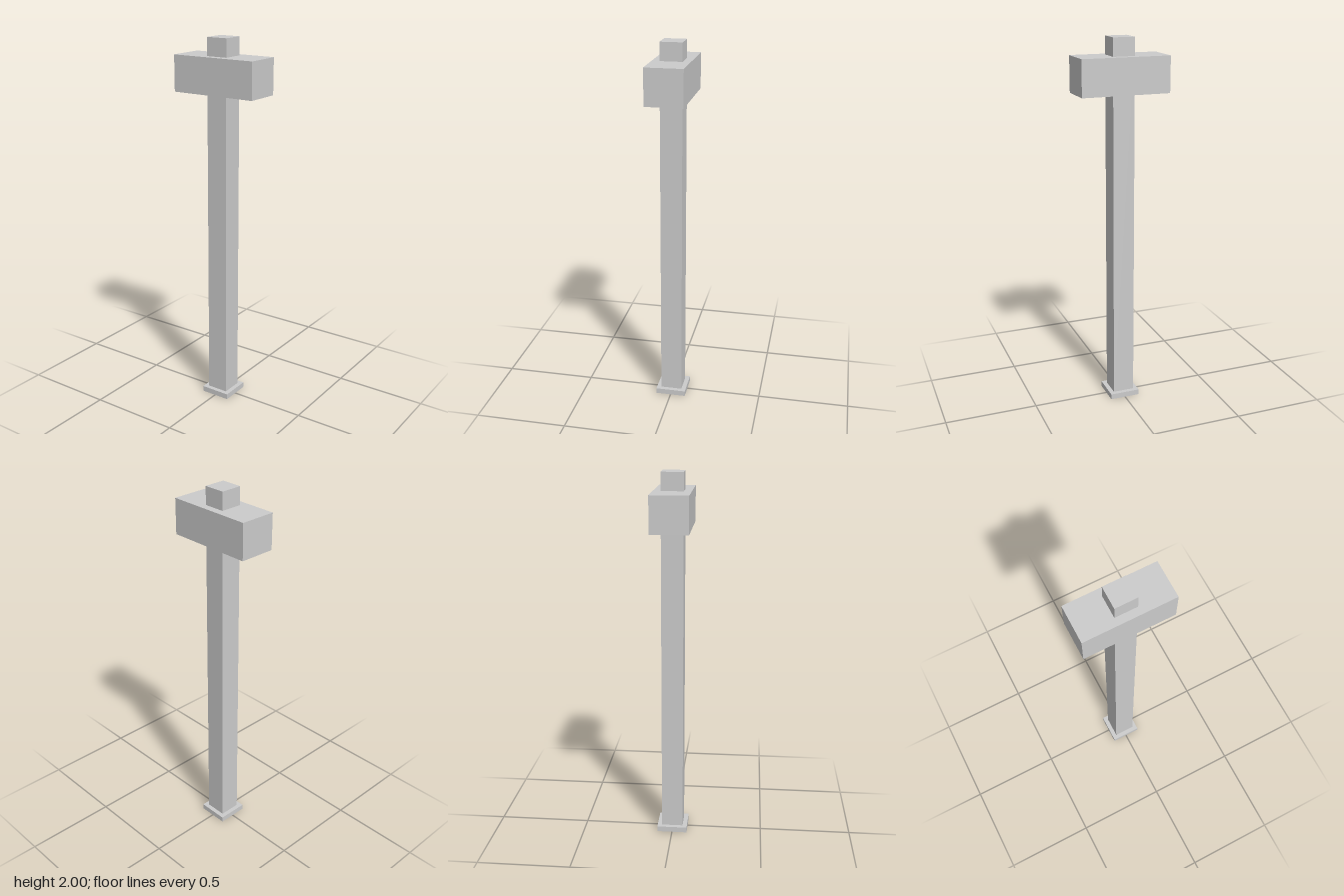
import * as THREE from 'three';

export function createModel() {
  const model = new THREE.Group();
  model.name = 'hammer';
  const material = new THREE.MeshStandardMaterial({ color: 0xcccccc, flatShading: true });

  // Box centred on the vertical axis, spanning bottom to top
  function addBlock(name, width, depth, bottom, top) {
    const mesh = new THREE.Mesh(new THREE.BoxGeometry(width, top - bottom, depth), material);
    mesh.name = name;
    mesh.position.y = (bottom + top) / 2;
    model.add(mesh);
  }

  // Square shaft running through the head and out of its top
  addBlock('handle', 0.117, 0.117, 0.015, 2);
  // Heavy rectangular head
  addBlock('head', 0.477, 0.198, 1.714, 1.905);
  // Flat square cap at the grip end
  addBlock('pommel', 0.166, 0.166, 0, 0.03);

  return model;
}
